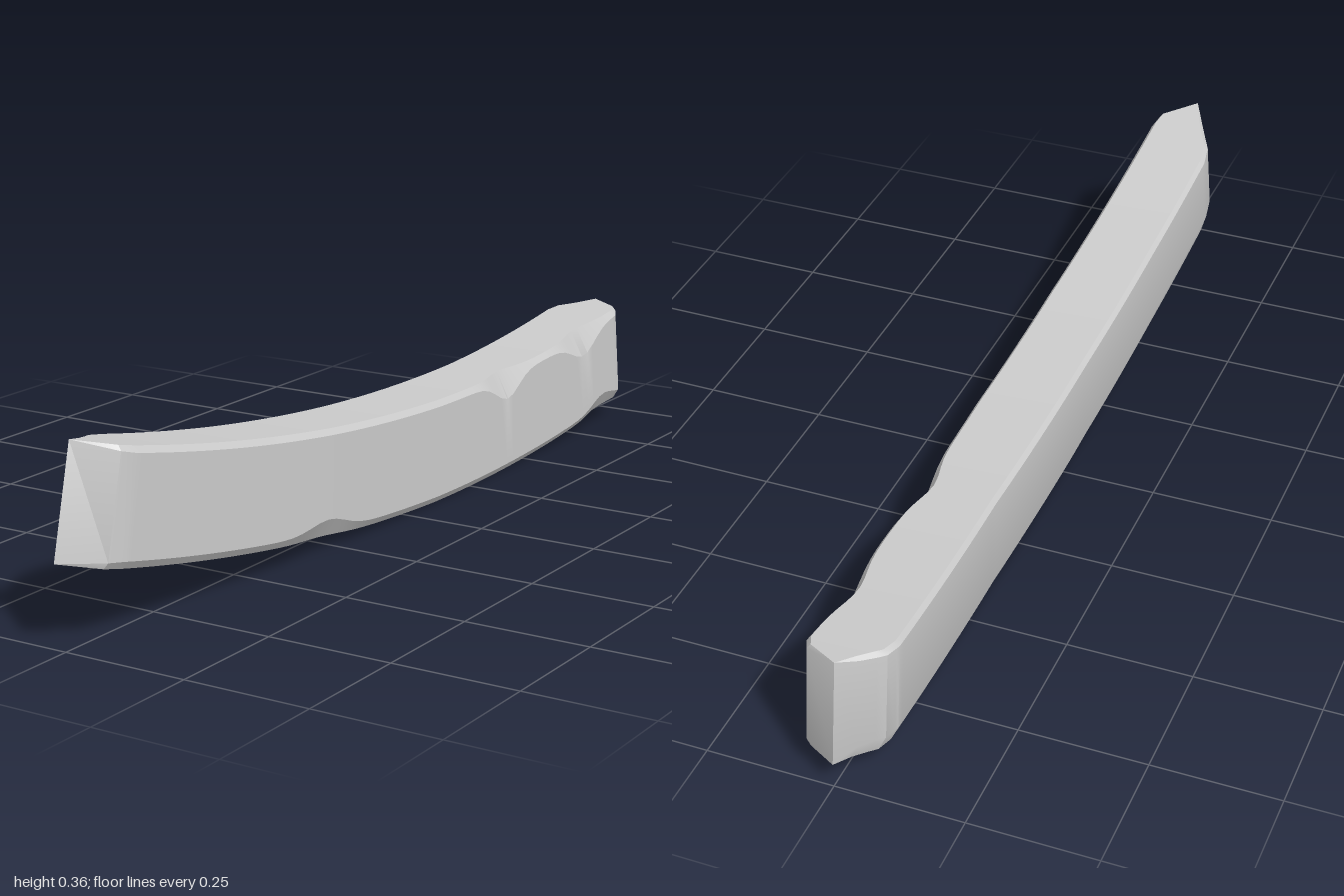
import * as THREE from 'three';
import { toCreasedNormals } from 'three/addons/utils/BufferGeometryUtils.js';

// Piecewise linear lookup through [z, x] points
function lookup(points, z) {
  for (let i = 1; i < points.length; i++) {
    const [z0, x0] = points[i - 1], [z1, x1] = points[i];
    if (z <= z1) return THREE.MathUtils.mapLinear(z, z0, z1, x0, x1);
  }
  return points[points.length - 1][1];
}

const bump = (z, centre, width) => Math.exp(-(((z - centre) / width) ** 2));

// Plan outline of both sides, from the back point to the front point
const rightSide = [[-1, 0], [-0.965, 0.068], [-0.94, 0.08], [-0.6, 0.086], [-0.1, 0.091],
  [0.3, 0.083], [0.91, 0.06], [0.945, 0.052], [1, -0.02]];
const leftSide = [[-1, 0], [-0.925, -0.068], [-0.89, -0.076], [-0.4, -0.066], [0.1, -0.072],
  [0.5, -0.082], [0.82, -0.093], [0.87, -0.085], [1, -0.02]];

const HEIGHT = 0.215;

// Eight-cornered cross-section, swept along the arc and worn at its edges
function section(s) {
  const r = lookup(rightSide, s), l = lookup(leftSide, s);
  const k = Math.min(1, (r - l) / 0.12);
  const topDent = bump(s, -0.4, 0.07) + bump(s, -0.77, 0.08);
  const lowDent = bump(s, 0.3, 0.08) + bump(s, -0.86, 0.07);
  const tr = [0.009 + 0.018 * topDent, 0.012 + 0.045 * topDent];
  const br = [0.01 + 0.012 * lowDent, 0.014 + 0.024 * lowDent];
  const tl = [0.008, 0.01];
  const bl = [0.014, 0.03 + 0.02 * Math.max(0, s)];
  const outline = [
    [r - br[0] * k, 0], [r, br[1] * k], [r, HEIGHT - tr[1] * k], [r - tr[0] * k, HEIGHT],
    [l + tl[0] * k, HEIGHT], [l, HEIGHT - tl[1] * k], [l, bl[1] * k], [l + bl[0] * k, 0],
  ];
  const y = 0.096 * (s + 0.27) ** 2, slope = 0.192 * (s + 0.27);
  const len = Math.hypot(1, slope);
  return outline.map(([x, h]) => [x, y + h / len, s - h * slope / len]);
}

export function createModel() {
  const group = new THREE.Group();
  group.name = 'curvedBeam';

  // Stations: an even run plus the corners of the pointed ends
  const stations = [...rightSide, ...leftSide].map(p => p[0]);
  for (let i = 0; i <= 64; i++) stations.push(-0.9 + i * 0.028);
  const rings = [...new Set(stations)].sort((a, b) => a - b)
    .filter((s, i, all) => i === 0 || s - all[i - 1] > 0.002).map(section);

  const index = [];
  for (let i = 0; i < rings.length - 1; i++) {
    for (let j = 0; j < 8; j++) {
      const a = i * 8 + j, b = i * 8 + (j + 1) % 8;
      index.push(a, b, b + 8, a, b + 8, a + 8);
    }
  }
  const geometry = new THREE.BufferGeometry();
  geometry.setAttribute('position', new THREE.Float32BufferAttribute(rings.flat(2), 3));
  geometry.setIndex(index);

  const beam = new THREE.Mesh(toCreasedNormals(geometry, 0.45),
    new THREE.MeshStandardMaterial({ color: 0xcccccc }));
  beam.name = 'beam';
  group.add(beam);
  return group;
}
